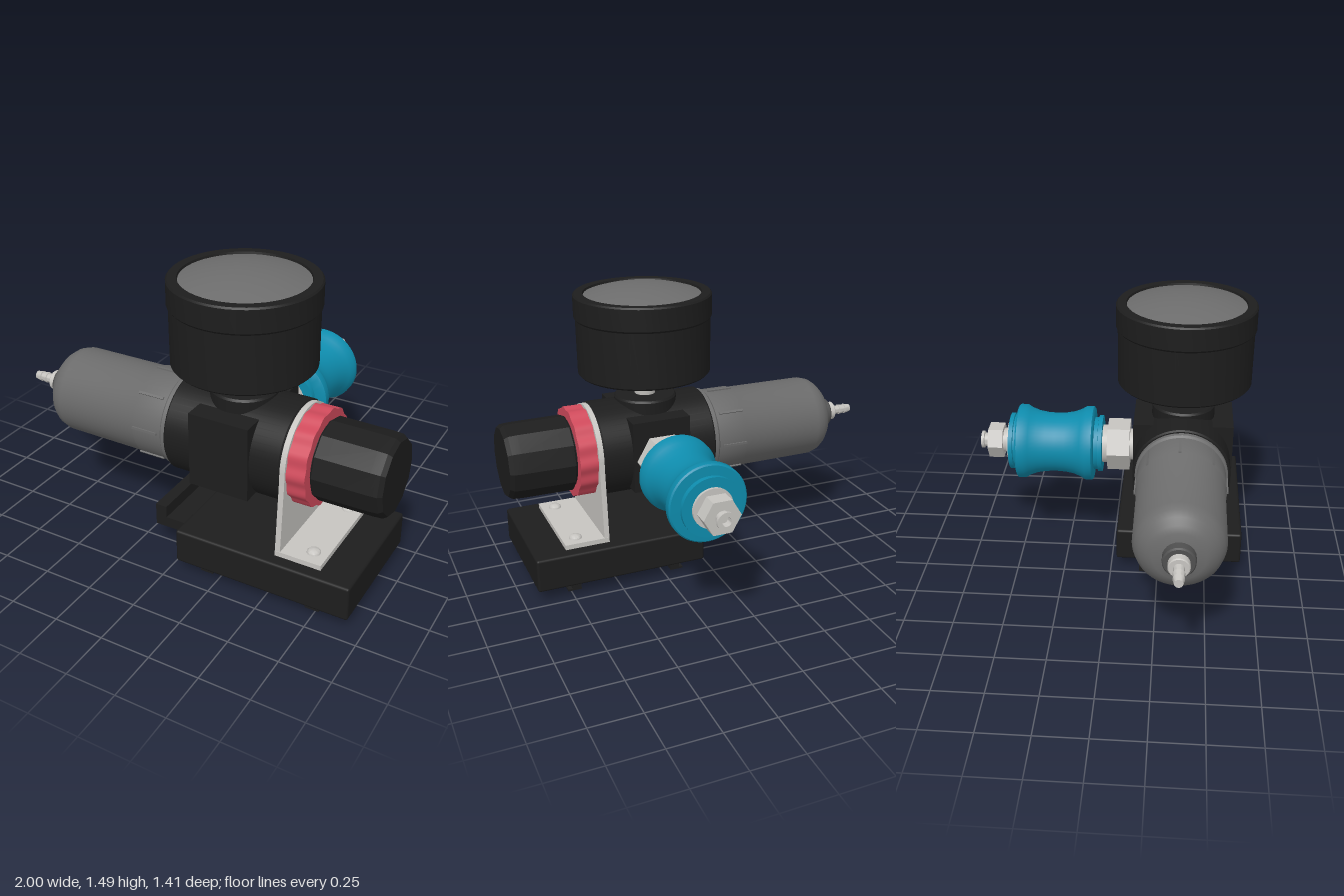
import * as THREE from 'three';
import { toCreasedNormals } from 'three/addons/utils/BufferGeometryUtils.js';
import { RoundedBoxGeometry } from 'three/addons/geometries/RoundedBoxGeometry.js';

const mat = (name, color) => {
  const m = new THREE.MeshStandardMaterial({ color });
  m.name = name;
  return m;
};

export function createModel() {
  const black = mat('black plastic', 0x1d1d1d);
  const grey = mat('grey bowl', 0x6c6c6c);
  const darkGrey = mat('dark grey plug', 0x505050);
  const red = mat('red ring', 0xcf4a5b);
  const teal = mat('teal', 0x0e8cad);
  const steel = mat('light steel', 0xc6c4c0);

  const root = new THREE.Group();
  root.name = 'airRegulator';
  const AX = 0.24, AY = 0.65, AZ = 0.36; // crossing point of the three axes

  const add = (name, geo, material, x = 0, y = 0, z = 0, parent = root) => {
    const m = new THREE.Mesh(geo, material);
    m.name = name;
    m.position.set(x, y, z);
    parent.add(m);
    return m;
  };
  // box given by its limits
  const box = (name, material, x0, x1, y0, y1, z0, z1, r = 0) => {
    const s = [x1 - x0, y1 - y0, z1 - z0];
    const g = r ? new RoundedBoxGeometry(...s, 2, r) : new THREE.BoxGeometry(...s);
    return add(name, g, material, (x0 + x1) / 2, (y0 + y1) / 2, (z0 + z1) / 2);
  };
  // turned profile of [radius, height] pairs
  const turned = (pts, seg = 40, crease = 0.6) => toCreasedNormals(
    new THREE.LatheGeometry(pts.map(p => new THREE.Vector2(...p)), seg), crease);

  // groups whose local +y runs along the main (+x) and rear (-z) axes
  const main = new THREE.Group();
  main.name = 'mainAxis';
  main.position.set(0, AY, AZ);
  main.rotation.z = -Math.PI / 2;
  const rear = new THREE.Group();
  rear.name = 'rearCoupling';
  rear.position.set(AX, AY, 0);
  rear.rotation.x = -Math.PI / 2;
  root.add(main, rear);

  // base, feet and side hook
  box('base', black, 0.04, 0.93, 0.06, 0.235, 0.03, 0.69, 0.012);
  for (const [a, b, lipA, lipB] of [[0.16, 0.207, 0.14, 0.207], [0.695, 0.742, 0.695, 0.765]]) {
    box('foot', black, a, b, 0, 0.065, 0.09, 0.63);
    box('footLip', black, lipA, lipB, 0, 0.01, 0.09, 0.63);
  }
  box('hookArm', black, -0.16, 0.05, 0.12, 0.175, 0.16, 0.55);
  box('hookLip', black, -0.16, -0.1, 0.12, 0.235, 0.16, 0.55);

  // mounting bracket
  const plate = new THREE.Shape();
  plate.moveTo(-0.268, 0.235);
  plate.lineTo(0.268, 0.235);
  plate.lineTo(0.24, 0.6);
  plate.absarc(0, AY, 0.238, 0, Math.PI, false);
  plate.lineTo(-0.24, 0.6);
  plate.closePath();
  add('bracketPlate', new THREE.ExtrudeGeometry(plate, { depth: 0.026, bevelEnabled: false, curveSegments: 24 }),
    steel, 0.535, 0, AZ).rotation.y = Math.PI / 2;
  box('bracketFlange', steel, 0.535, 0.765, 0.235, 0.26, 0.092, 0.628);
  for (const z of [0.16, 0.55])
    add('screw', turned([[0.033, 0], [0.031, 0.008], [0.022, 0.016], [0, 0.02]], 20), steel, 0.695, 0.26, z);

  // valve body
  add('body', turned([[0, -0.068], [0.238, -0.068], [0.245, -0.06], [0.245, 0.528], [0.238, 0.535], [0, 0.535]], 48), black, 0, 0, 0, main);
  box('portBlock', black, 0.08, 0.385, 0.472, 0.845, 0.11, 0.615);
  add('topBoss', turned([[0.16, 0.75], [0.16, 0.905], [0.152, 0.915], [0, 0.915]]), black, 0.23, 0, AZ);

  // bowl with collar ribs, plug and barbed nipple
  add('bowl', turned([[0, -0.8], [0.12, -0.8], [0.15, -0.785], [0.18, -0.76], [0.202, -0.73], [0.214, -0.69],
    [0.216, -0.26], [0.222, -0.25], [0.222, -0.1], [0.232, -0.09], [0.232, -0.06]], 48), grey, 0, 0, 0, main);
  for (let i = 0; i < 8; i++) {
    const a = i * Math.PI / 4 + 0.05;
    const rib = add('bowlRib', new THREE.BoxGeometry(0.02, 0.135, 0.012), grey,
      0.219 * Math.cos(a), -0.185, 0.219 * Math.sin(a), main);
    rib.rotation.y = -a;
  }
  add('drainPlug', turned([[0, -0.85], [0.07, -0.85], [0.076, -0.842], [0.076, -0.795]], 24), darkGrey, 0, 0, 0, main);
  add('nipple', turned([[0, -1], [0.02, -1], [0.027, -0.965], [0.022, -0.963], [0.028, -0.93], [0.023, -0.928],
    [0.026, -0.89], [0.046, -0.89], [0.05, -0.885], [0.05, -0.845]], 24), steel, 0, 0, 0, main);

  // scalloped lock ring
  const scallop = new THREE.Shape();
  for (let i = 0; i < 112; i++) {
    const a = i / 112 * Math.PI * 2, r = 0.23 + 0.005 * Math.cos(14 * a);
    scallop[i ? 'lineTo' : 'moveTo'](r * Math.cos(a), r * Math.sin(a));
  }
  scallop.closePath();
  const ringGeo = toCreasedNormals(new THREE.ExtrudeGeometry(scallop, { depth: 0.092, bevelEnabled: false }), 0.6);
  add('lockRing', ringGeo, red, 0.563, AY, AZ).rotation.y = Math.PI / 2;

  // faceted adjusting knob
  add('knobNeck', new THREE.CylinderGeometry(0.178, 0.178, 0.03, 32), black, 0, 0.665, 0, main);
  add('knob', turned([[0, 0.66], [0.19, 0.66], [0.197, 0.668], [0.195, 0.93], [0.192, 0.975], [0.178, 0.995], [0, 0.995]], 12, 0.3),
    black, 0, 0, 0, main);

  // pressure gauge
  const GX = 0.23;
  add('gaugeStem', turned([[0.05, 0.9], [0.058, 0.945], [0.058, 0.97]], 24), steel, GX, 0, AZ);
  add('gaugeHex', turned([[0, 0.95], [0.054, 0.95], [0.074, 0.972], [0.074, 1.035]], 6, 0.3), steel, GX, 0, AZ);
  add('gaugeCase', turned([[0, 1.032], [0.328, 1.032], [0.338, 1.042], [0.34, 1.32], [0.348, 1.33], [0.348, 1.438],
    [0.341, 1.446], [0.298, 1.446], [0.294, 1.43]], 48), black, GX, 0, AZ);
  add('gaugeBackDisc', new THREE.CylinderGeometry(0.2, 0.2, 0.008, 40), teal, GX, 1.03, AZ);
  const dome = [];
  for (let i = 0; i <= 8; i++) {
    const r = 0.296 * (1 - i / 8);
    dome.push([r, 1.485 - 0.05 * (r / 0.296) ** 2]);
  }
  add('gaugeGlass', turned(dome, 48), grey, GX, 0, AZ);

  // rear coupling: hex nut, waisted sleeve, end nut and tip
  add('portWasher', new THREE.CylinderGeometry(0.082, 0.082, 0.06, 32), steel, 0, -0.1, 0, rear);
  const nut = (name, apothem, y0, y1) => {
    const r = apothem / Math.cos(Math.PI / 6);
    const g = new THREE.CylinderGeometry(r, r, y1 - y0, 6).toNonIndexed();
    g.computeVertexNormals();
    add(name, g, steel, 0, (y0 + y1) / 2, 0, rear).rotation.y = Math.PI / 6 * 3;
  };
  nut('portNut', 0.117, -0.088, 0.028);
  add('sleeveCollar', new THREE.CylinderGeometry(0.1, 0.1, 0.05, 32), steel, 0, 0.042, 0, rear);
  add('sleeve', turned([[0, 0.055], [0.148, 0.055], [0.148, 0.076], [0.138, 0.078], [0.138, 0.098], [0.185, 0.1],
    [0.195, 0.107], [0.195, 0.142], [0.18, 0.168], [0.165, 0.205], [0.157, 0.25], [0.154, 0.3], [0.157, 0.35],
    [0.165, 0.395], [0.18, 0.435], [0.195, 0.46], [0.195, 0.493], [0.188, 0.5], [0.14, 0.502], [0.14, 0.518],
    [0.148, 0.52], [0.148, 0.541], [0, 0.541]], 48), teal, 0, 0, 0, rear);
  add('endCollar', turned([[0.1, 0.535], [0.1, 0.555], [0.062, 0.556], [0.062, 0.59]], 32), steel, 0, 0, 0, rear);
  nut('endNut', 0.08, 0.58, 0.658);
  add('endTip', turned([[0.036, 0.65], [0.036, 0.683], [0.045, 0.686], [0.045, 0.7], [0.024, 0.7], [0.022, 0.665], [0, 0.665]], 24),
    steel, 0, 0, 0, rear);

  return root;
}
